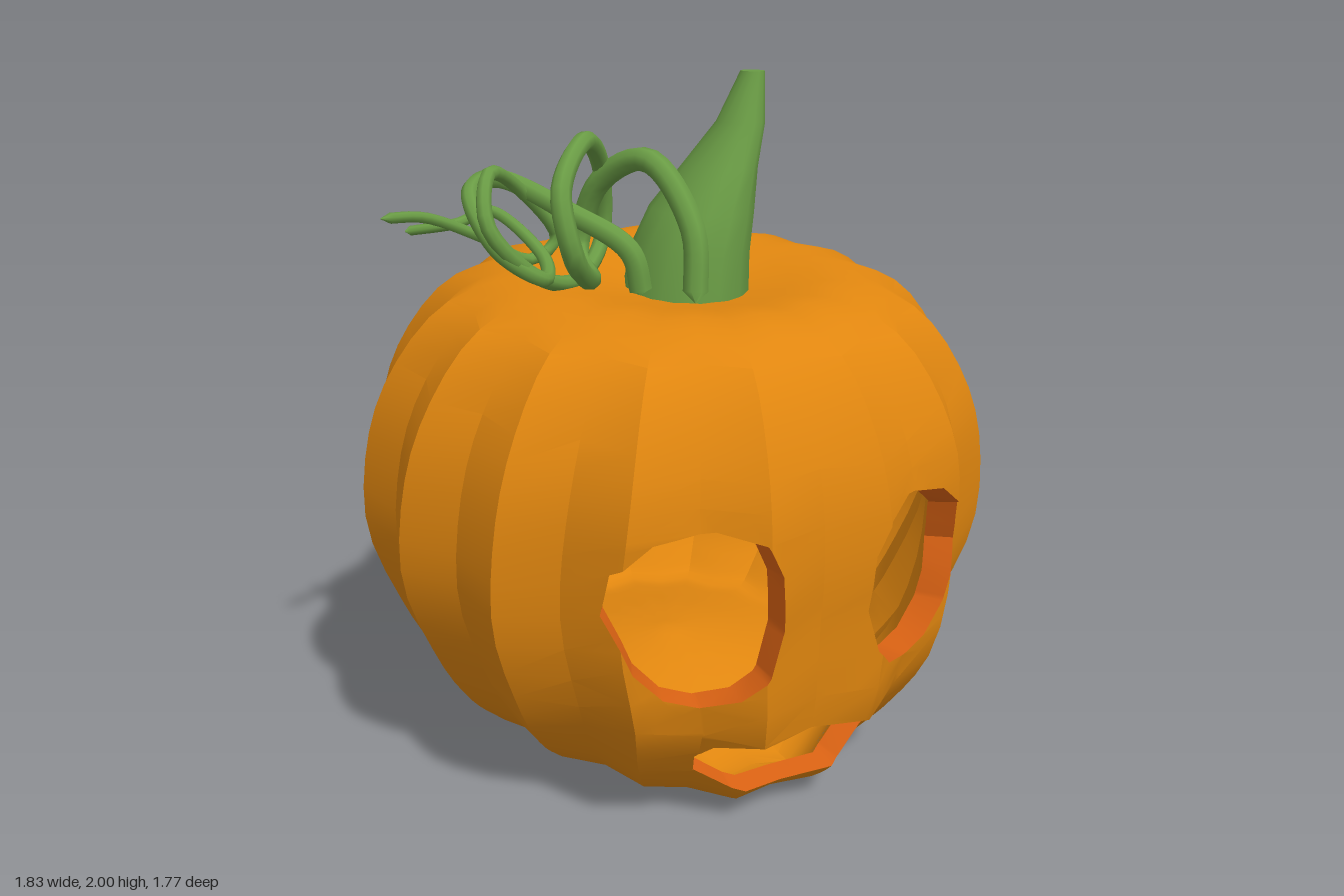
import * as THREE from 'three';
import { toCreasedNormals } from 'three/addons/utils/BufferGeometryUtils.js';

const V = (x, y, z) => new THREE.Vector3(x, y, z);
const { lerp, smoothstep, degToRad } = THREE.MathUtils;
const CENTRE = V(0, 0.78, 0);
const TILT = degToRad(5);
const RIBS = 16, RINGS = 40;

const material = (name, color) => {
  const m = new THREE.MeshStandardMaterial({ color });
  m.name = name;
  return m;
};

function meshFrom(name, points, mat, crease) {
  let geo = new THREE.BufferGeometry().setFromPoints(points);
  geo = toCreasedNormals(geo, crease);
  const mesh = new THREE.Mesh(geo, mat);
  mesh.name = name;
  return mesh;
}

// Ridge profile of the body, bottom to top: radius, height
const profile = new THREE.SplineCurve([
  [0, -0.58], [0.2, -0.61], [0.4, -0.655], [0.54, -0.676], [0.63, -0.61], [0.71, -0.52], [0.8, -0.36],
  [0.9, -0.08], [0.89, 0.195], [0.815, 0.412], [0.67, 0.595], [0.47, 0.665], [0.25, 0.635], [0, 0.585],
].map(([r, y]) => new THREE.Vector2(r, y)));

const bump = (v, middle, width) => Math.exp(-(((v - middle) / width) ** 2));

// Point on the ribbed skin: column i, ring j
function skinPoint(i, j) {
  const p = profile.getPoint(j / RINGS);
  const a = (i * Math.PI) / RIBS;
  const r = Math.max(0, p.x) * (i % 2 ? 1 : 0.935);
  const x = Math.sin(a) * r * 1.03;
  let y = p.y, z = Math.cos(a) * r;
  // chin pushed forward and sagging under the mouth
  const face = smoothstep(z, 0.1, 0.55);
  const chin = face * smoothstep(-y, 0.02, 0.37);
  z += 0.09 * chin * bump(x, 0, 0.52) * (1 - 0.45 * smoothstep(-y, 0.62, 0.68));
  // shallow sockets at the outer eye corners, fuller cheeks below them
  z -= 0.035 * face * bump(Math.abs(x), 0.54, 0.13) * bump(p.y, 0.03, 0.2);
  z += 0.03 * face * bump(Math.abs(x), 0.36, 0.14) * bump(p.y, -0.28, 0.14);
  y -= 0.06 * chin * bump(x, 0, 0.38);
  return V(x, y, z).applyAxisAngle(V(1, 0, 0), TILT).add(CENTRE);
}

// Matching point on the inside of the shell; around the face it goes almost straight back
function inward(p) {
  const y = lerp(CENTRE.y + (p.y - CENTRE.y) * 0.91, 0.2 + (p.y - 0.2) * 0.97, smoothstep(p.z, 0.45, 0.65));
  return V(p.x * 0.925, y, p.z * 0.885);
}

// Carved openings, convex outlines in x and y, counter-clockwise
const eye = [
  [-0.55, 0.73], [-0.485, 0.57], [-0.41, 0.49], [-0.32, 0.462], [-0.23, 0.487], [-0.165, 0.555],
  [-0.127, 0.68], [-0.14, 0.835], [-0.185, 0.925], [-0.29, 0.955], [-0.44, 0.928], [-0.535, 0.85],
];
const mouth = [
  [-0.295, 0.27], [-0.275, 0.2], [-0.17, 0.13], [0, 0.095], [0.17, 0.13], [0.275, 0.2],
  [0.295, 0.27], [0.265, 0.32], [0.175, 0.335], [0, 0.342], [-0.175, 0.335], [-0.265, 0.32],
];
const holes = [eye, eye.map(([x, y]) => [-x, y]).reverse(), mouth];

const side = (p, a, b) => (b[0] - a[0]) * (p.y - a[1]) - (b[1] - a[1]) * (p.x - a[0]);

// Split a polygon by a line into its left and right parts
function split(poly, a, b) {
  const left = [], right = [];
  poly.forEach((p, i) => {
    const q = poly[(i + 1) % poly.length];
    const dp = side(p, a, b), dq = side(q, a, b);
    if (dp >= -1e-9) left.push(p);
    if (dp <= 1e-9) right.push(p);
    if ((dp > 1e-9 && dq < -1e-9) || (dp < -1e-9 && dq > 1e-9)) {
      const m = p.clone().lerp(q, dp / (dp - dq));
      left.push(m);
      right.push(m);
    }
  });
  return [left, right];
}

// Cut a hole from a polygon; returns the pieces kept and records the rim segments
function carve(poly, hole, rim) {
  let inside = poly;
  const kept = [];
  for (let k = 0; k < hole.length; k++) {
    const [l, r] = split(inside, hole[k], hole[(k + 1) % hole.length]);
    if (r.length > 2) kept.push(r);
    inside = l;
    if (inside.length < 3) return [poly];
  }
  inside.forEach((p, i) => {
    const q = inside[(i + 1) % inside.length];
    for (let k = 0; k < hole.length; k++) {
      const a = hole[k], b = hole[(k + 1) % hole.length];
      if (Math.abs(side(p, a, b)) < 1e-7 && Math.abs(side(q, a, b)) < 1e-7) { rim.push([p, q]); break; }
    }
  });
  return kept;
}

function buildBody(orange, cut) {
  const outer = [], inner = [], walls = [], rim = [];
  const addTriangle = (a, b, c) => {
    const tri = new THREE.Triangle(a, b, c);
    if (tri.getArea() < 1e-9) return;
    let pieces = [[a, b, c]];
    if (tri.getMidpoint(V()).z > 0.5 && tri.getNormal(V()).z > 0) {
      for (const hole of holes) pieces = pieces.flatMap((p) => carve(p, hole, rim));
    }
    for (const p of pieces) {
      for (let n = 1; n < p.length - 1; n++) {
        outer.push(p[0], p[n], p[n + 1]);
        inner.push(inward(p[0]), inward(p[n + 1]), inward(p[n]));
      }
    }
  };
  for (let i = 0; i < RIBS * 2; i++) {
    for (let j = 0; j < RINGS; j++) {
      const a = skinPoint(i, j), b = skinPoint(i + 1, j);
      const c = skinPoint(i + 1, j + 1), d = skinPoint(i, j + 1);
      addTriangle(a, b, c);
      addTriangle(a, c, d);
    }
  }
  // thickness of the shell around each opening
  for (const [p, q] of rim) {
    const pi = inward(p), qi = inward(q);
    walls.push(p, q, qi, p, qi, pi);
  }
  return [
    meshFrom('pumpkinSkin', outer, orange, 0.42),
    meshFrom('pumpkinInside', inner, orange, 0.42),
    meshFrom('carvedEdges', walls, cut, 0.6),
  ];
}

// Leaning, tapering stalk built from oval rings: y, centre x, centre z, radius x, radius z
function buildStem(green) {
  const rings = [
    [1.36, 0.005, 0.058, 0.18, 0.207], [1.5, 0.02, 0.058, 0.166, 0.2], [1.62, 0.058, 0.06, 0.142, 0.18],
    [1.74, 0.112, 0.072, 0.097, 0.135], [1.86, 0.167, 0.09, 0.066, 0.08], [2, 0.198, 0.1, 0.033, 0.038],
  ];
  const sides = 14, pts = [];
  const at = ([y, cx, cz, rx, rz], i) => {
    const a = (i / sides) * Math.PI * 2;
    return V(cx + Math.sin(a) * rx, y, cz + Math.cos(a) * rz);
  };
  const top = rings[rings.length - 1];
  for (let i = 0; i < sides; i++) {
    for (let j = 0; j < rings.length - 1; j++) {
      const a = at(rings[j], i), b = at(rings[j], i + 1);
      const c = at(rings[j + 1], i + 1), d = at(rings[j + 1], i);
      pts.push(a, b, c, a, c, d);
    }
    pts.push(at(top, i), at(top, i + 1), V(top[1], top[0], top[2]));
  }
  return meshFrom('stem', pts, green, 0.8);
}

// Curling tendril: a tube that thins towards its tip
function buildTendril(name, points, r0, r1, green) {
  const curve = new THREE.CatmullRomCurve3(points.map((p) => V(...p)));
  const segs = 120, around = 8;
  const geo = new THREE.TubeGeometry(curve, segs, 1, around);
  const pos = geo.attributes.position, p = V();
  for (let i = 0; i <= segs; i++) {
    const c = curve.getPointAt(i / segs);
    const r = i === 0 || i === segs ? 0.001 : lerp(r0, r1, i / segs);
    for (let k = 0; k <= around; k++) {
      const n = i * (around + 1) + k;
      p.fromBufferAttribute(pos, n).sub(c).multiplyScalar(r).add(c);
      pos.setXYZ(n, p.x, p.y, p.z);
    }
  }
  geo.computeBoundingSphere();
  const mesh = new THREE.Mesh(geo, green);
  mesh.name = name;
  return mesh;
}

export function createModel() {
  const orange = material('pumpkinOrange', 0xe0860f);
  const cut = material('carvedOrange', 0xe06514);
  const green = material('stemGreen', 0x6a9c45);
  const group = new THREE.Group();
  group.name = 'carvedPumpkin';
  group.add(...buildBody(orange, cut), buildStem(green));
  group.add(buildTendril('longTendril', [
    [-0.08, 1.4, 0.29], [-0.07, 1.6, 0.25], [-0.13, 1.77, 0.1], [-0.21, 1.69, -0.06], [-0.25, 1.5, -0.12],
    [-0.3, 1.45, 0.08], [-0.42, 1.55, 0.25], [-0.44, 1.72, 0.22], [-0.31, 1.83, 0.08], [-0.2, 1.73, -0.06],
    [-0.18, 1.52, -0.11], [-0.34, 1.44, 0.05], [-0.52, 1.51, 0.17], [-0.63, 1.64, 0.18], [-0.59, 1.76, 0.09],
    [-0.47, 1.7, -0.01], [-0.34, 1.54, -0.07], [-0.42, 1.49, -0.06], [-0.59, 1.58, 0], [-0.75, 1.65, 0.04],
    [-0.89, 1.67, 0.11],
  ], 0.037, 0.014, green));
  group.add(buildTendril('shortTendril', [
    [-0.2, 1.42, 0.2], [-0.23, 1.54, 0.19], [-0.36, 1.64, 0.08], [-0.5, 1.72, -0.08], [-0.63, 1.7, 0.05],
    [-0.6, 1.57, 0.17], [-0.47, 1.48, 0.16], [-0.42, 1.52, 0.02], [-0.52, 1.63, -0.08], [-0.66, 1.62, 0],
    [-0.78, 1.6, -0.06],
  ], 0.034, 0.013, green));
  return group;
}
